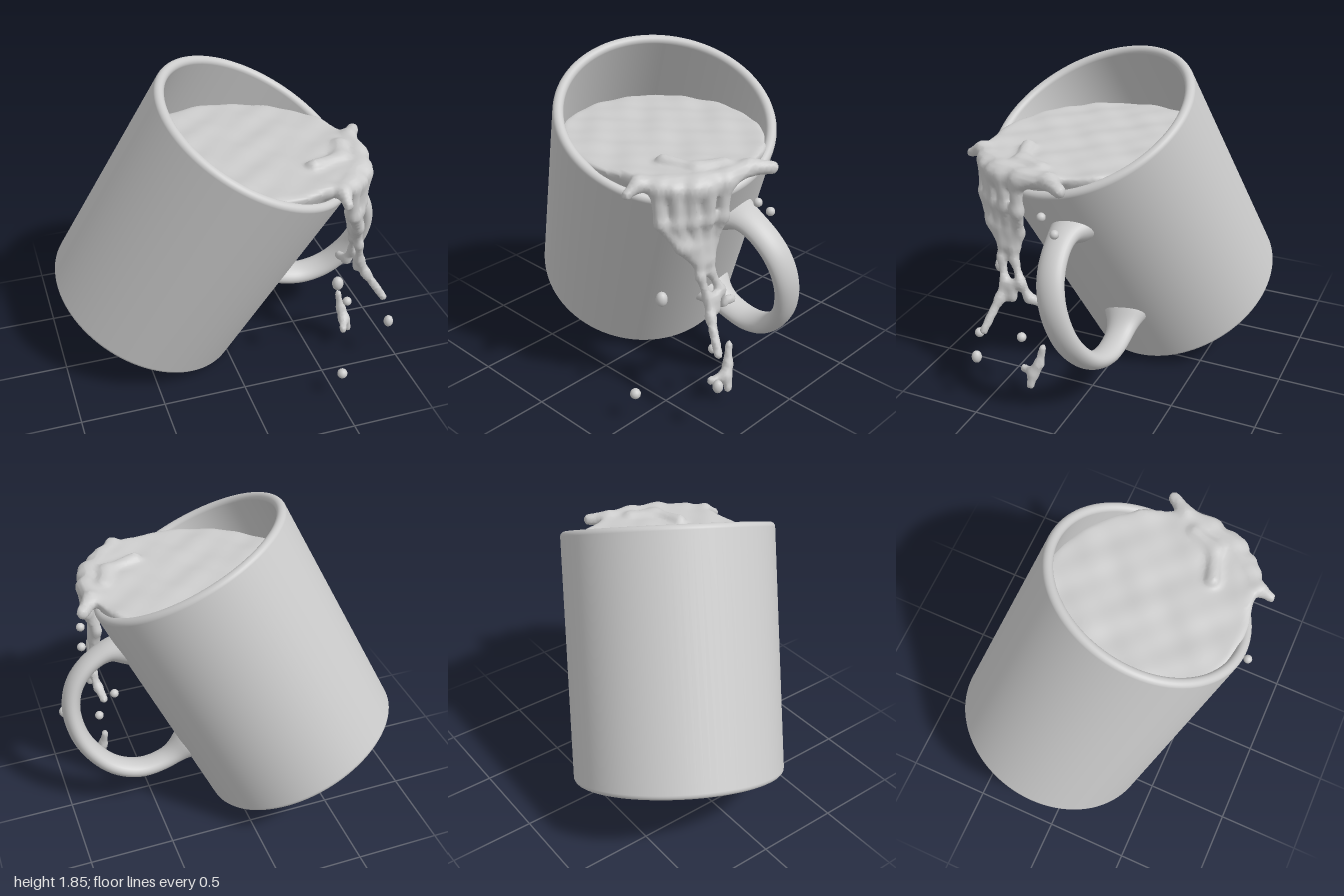
import * as THREE from 'three';
import { mergeVertices } from 'three/addons/utils/BufferGeometryUtils.js';

const V = (x, y, z) => new THREE.Vector3(x, y, z);
const R = 0.62, WALL = 0.06, H = 1.46;
const BASE = V(-0.435, 0.297, -0.209);
// tilted mug frame: axis up through the mug, handle direction, and their normal
const AXIS = V(0.412, 0.878, 0.246).normalize();
const OUT = V(0.908, -0.418, -0.03).projectOnPlane(AXIS).normalize();
const SIDE = OUT.clone().cross(AXIS);

const material = new THREE.MeshStandardMaterial({ color: 0xcccccc });

function addMesh(parent, name, geometry) {
  const mesh = new THREE.Mesh(geometry, material);
  mesh.name = name;
  parent.add(mesh);
  return mesh;
}

// hollow cup with rounded foot, rim and inner floor
function cupGeometry() {
  const pts = [new THREE.Vector2(0, 0), new THREE.Vector2(R - 0.05, 0)];
  const arc = (cx, cy, r, a0, a1, n) => {
    for (let i = 0; i <= n; i++) {
      const a = a0 + (a1 - a0) * i / n;
      pts.push(new THREE.Vector2(cx + r * Math.cos(a), cy + r * Math.sin(a)));
    }
  };
  arc(R - 0.03, 0.03, 0.03, -Math.PI / 2, 0, 5);
  arc(R - WALL / 2, H - WALL / 2, WALL / 2, 0, Math.PI, 12);
  arc(R - WALL - 0.06, 0.12, 0.06, 0, -Math.PI / 2, 5);
  pts.push(new THREE.Vector2(0, 0.06));
  return new THREE.LatheGeometry(pts, 96);
}

// oval-section handle that flares where it meets the cup
function handleGeometry() {
  const path = new THREE.CatmullRomCurve3([
    [0.575, 1.17], [0.68, 1.215], [0.82, 1.205], [0.95, 1.14], [1.05, 1.01], [1.095, 0.8],
    [1.04, 0.58], [0.92, 0.455], [0.76, 0.41], [0.575, 0.43],
  ].map(([t, s]) => V(t, s, 0)));
  const rings = 80, sides = 28;
  const geo = new THREE.TubeGeometry(path, rings, 1, sides);
  const pos = geo.attributes.position, v = V(0, 0, 0);
  for (let i = 0; i <= rings; i++) {
    const u = i / rings, p = path.getPointAt(u);
    const flare = Math.exp(-Math.pow(Math.min(u, 1 - u) / 0.055, 1.5));
    const thick = 0.053 + 0.04 * flare, wide = 0.083 + 0.065 * flare;
    for (let j = 0; j <= sides; j++) {
      const k = i * (sides + 1) + j;
      v.fromBufferAttribute(pos, k).sub(p);
      pos.setXYZ(k, p.x + v.x * thick, p.y + v.y * thick, v.z * wide);
    }
  }
  geo.deleteAttribute('uv');
  geo.deleteAttribute('normal');
  const merged = mergeVertices(geo, 1e-5);
  merged.computeVertexNormals();
  return merged;
}

// a strand of liquid: points joined by segments, tapering from radius r0 to r1
const segments = [];
function strand(r0, r1, points) {
  const last = points.length - 1;
  for (let i = 0; i < last; i++) {
    const ra = r0 + (r1 - r0) * i / last, rb = r0 + (r1 - r0) * (i + 1) / last;
    segments.push({ a: points[i], b: points[i + 1], ra, rb });
  }
}

function pourStrands() {
  // overflowing lip with a curl at both ends, and the swell behind it
  strand(0.056, 0.026, [[0.67, 1.38, 0.45], [0.55, 1.39, 0.59], [0.47, 1.41, 0.67], [0.465, 1.37, 0.75]]);
  strand(0.056, 0.034, [[0.67, 1.38, 0.45], [0.72, 1.39, 0.28], [0.74, 1.41, 0.12], [0.81, 1.4, 0.02]]);
  strand(0.03, 0.027, [[0.5, 1.4, 0.62], [0.4, 1.4, 0.64]]);
  strand(0.036, 0.045, [[0.4, 1.44, 0.42], [0.58, 1.42, 0.36], [0.64, 1.42, 0.22]]);
  // falling sheet: columns spread between its two edges, bulging outward
  const near = [[0.55, 1.38, 0.615], [0.57, 1.2, 0.61], [0.64, 1.06, 0.54], [0.68, 0.95, 0.45]];
  const far = [[0.74, 1.38, 0.31], [0.73, 1.2, 0.32], [0.68, 1.04, 0.34], [0.69, 0.95, 0.36]];
  for (let u = 0; u <= 1; u += 0.25) {
    strand(0.038, 0.022, near.map((p, i) => {
      const bulge = 0.12 * u * (1 - u) * (1 - i / 3);
      return p.map((q, a) => q + (far[i][a] - q) * u + (a === 1 ? 0 : bulge));
    }));
  }
  // narrow stream that forks, with a web between the prongs
  strand(0.022, 0.026, [[0.68, 1, 0.44], [0.7, 0.88, 0.45], [0.73, 0.75, 0.42], [0.77, 0.65, 0.44], [0.875, 0.49, 0.49]]);
  strand(0.022, 0.026, [[0.68, 1, 0.37], [0.7, 0.88, 0.37], [0.73, 0.76, 0.32], [0.715, 0.66, 0.28], [0.7, 0.635, 0.19]]);
  strand(0.026, 0.026, [[0.74, 0.74, 0.37], [0.74, 0.66, 0.37]]);
  // loose splash below
  strand(0.022, 0.027, [[0.71, 0.35, 0.21], [0.725, 0.24, 0.23], [0.74, 0.18, 0.26], [0.765, 0.11, 0.27]]);
  strand(0.022, 0.024, [[0.73, 0.18, 0.27], [0.7, 0.165, 0.345]]);
}

const smoothMin = (a, b, k) => {
  const h = Math.max(k - Math.abs(a - b), 0) / k;
  return Math.min(a, b) - h * h * k / 4;
};

function segmentDistance(x, y, z, { a, b, ra, rb }) {
  const dx = b[0] - a[0], dy = b[1] - a[1], dz = b[2] - a[2];
  const px = x - a[0], py = y - a[1], pz = z - a[2];
  const along = (px * dx + py * dy + pz * dz) / (dx * dx + dy * dy + dz * dz);
  const t = Math.min(1, Math.max(0, along));
  const ex = px - dx * t, ey = py - dy * t, ez = pz - dz * t;
  return Math.sqrt(ex * ex + ey * ey + ez * ez) - ra - (rb - ra) * t;
}

// pool inside the cup joined smoothly with every strand
function liquidField(x, y, z) {
  const px = x - BASE.x, py = y - BASE.y, pz = z - BASE.z;
  const s = px * AXIS.x + py * AXIS.y + pz * AXIS.z;
  const radial = Math.sqrt(Math.max(0, px * px + py * py + pz * pz - s * s)) - (R - WALL / 2 - 0.01);
  const level = 1.435 + 0.006 * Math.sin(13 * x + 5 * z) * Math.sin(15 * z - 4 * x);
  let d = -smoothMin(-Math.max(radial, 1.3 - y), level - y, 0.04);
  for (const seg of segments) d = smoothMin(d, segmentDistance(x, y, z, seg), 0.035);
  return d + 0.004 * Math.sin(24 * x + 2) * Math.sin(21 * y) * Math.sin(26 * z + 1);
}

// mesh the zero level of the field with one vertex per crossed cell
function liquidGeometry() {
  const c = 0.017, min = [-0.62, 0.03, -0.58], n = [94, 92, 86];
  const step = [1, n[0], n[0] * n[1]], f = new Float32Array(n[0] * n[1] * n[2]);
  const each = (from, to, fn) => {
    for (let k = from; k < n[2] - to; k++)
      for (let j = from; j < n[1] - to; j++)
        for (let i = from; i < n[0] - to; i++) fn([i, j, k], i + j * step[1] + k * step[2]);
  };
  each(0, 0, (g, id) => { f[id] = liquidField(...g.map((q, a) => min[a] + q * c)); });
  const cell = new Int32Array(f.length).fill(-1), pos = [], index = [];
  each(0, 1, (g, id) => {
    const sum = [0, 0, 0];
    let hits = 0;
    for (let q = 0; q < 8; q++) {
      const bits = [q & 1, (q >> 1) & 1, q >> 2];
      const i0 = id + bits[0] + bits[1] * step[1] + bits[2] * step[2];
      for (let a = 0; a < 3; a++) {
        const f0 = f[i0], f1 = f[i0 + step[a]];
        if (bits[a] || (f0 < 0) === (f1 < 0)) continue;
        for (let b = 0; b < 3; b++) sum[b] += bits[b] + (a === b ? f0 / (f0 - f1) : 0);
        hits++;
      }
    }
    if (!hits) return;
    cell[id] = pos.length / 3;
    pos.push(...g.map((q, a) => min[a] + (q + sum[a] / hits) * c));
  });
  each(1, 1, (g, id) => {
    for (let a = 0; a < 3; a++) {
      const inside = f[id] < 0, u = step[(a + 1) % 3], v = step[(a + 2) % 3];
      if (inside === (f[id + step[a]] < 0)) continue;
      const [p, q, r, s] = [id, id - u, id - u - v, id - v].map(k => cell[k]);
      if (inside) index.push(p, q, r, p, r, s);
      else index.push(p, r, q, p, s, r);
    }
  });
  const geo = new THREE.BufferGeometry();
  geo.setAttribute('position', new THREE.Float32BufferAttribute(pos, 3));
  geo.setIndex(index);
  geo.computeVertexNormals();
  return geo;
}

export function createModel() {
  const model = new THREE.Group();
  model.name = 'spillingMug';

  const mug = new THREE.Group();
  mug.name = 'mug';
  mug.position.copy(BASE);
  mug.quaternion.setFromRotationMatrix(new THREE.Matrix4().makeBasis(OUT, AXIS, SIDE));
  addMesh(mug, 'cup', cupGeometry());
  addMesh(mug, 'handle', handleGeometry());
  model.add(mug);

  segments.length = 0;
  pourStrands();
  addMesh(model, 'spillingLiquid', liquidGeometry());

  // flying drops: x, y, z, radius, vertical stretch
  const drop = new THREE.SphereGeometry(1, 14, 10);
  for (const [x, y, z, r, stretch] of [
    [0.53, 0.72, 0.565, 0.033, 1.3], [0.515, 0.2, 0.755, 0.03, 1], [0.907, 0.325, 0.528, 0.029, 1.3],
    [0.71, 0.385, 0.345, 0.028, 1], [0.83, 1.16, 0.045, 0.025, 1], [0.81, 1.235, 0.13, 0.025, 1],
  ]) {
    const mesh = addMesh(model, 'droplet', drop);
    mesh.position.set(x, y, z);
    mesh.scale.set(r, r * stretch, r);
  }
  return model;
}
